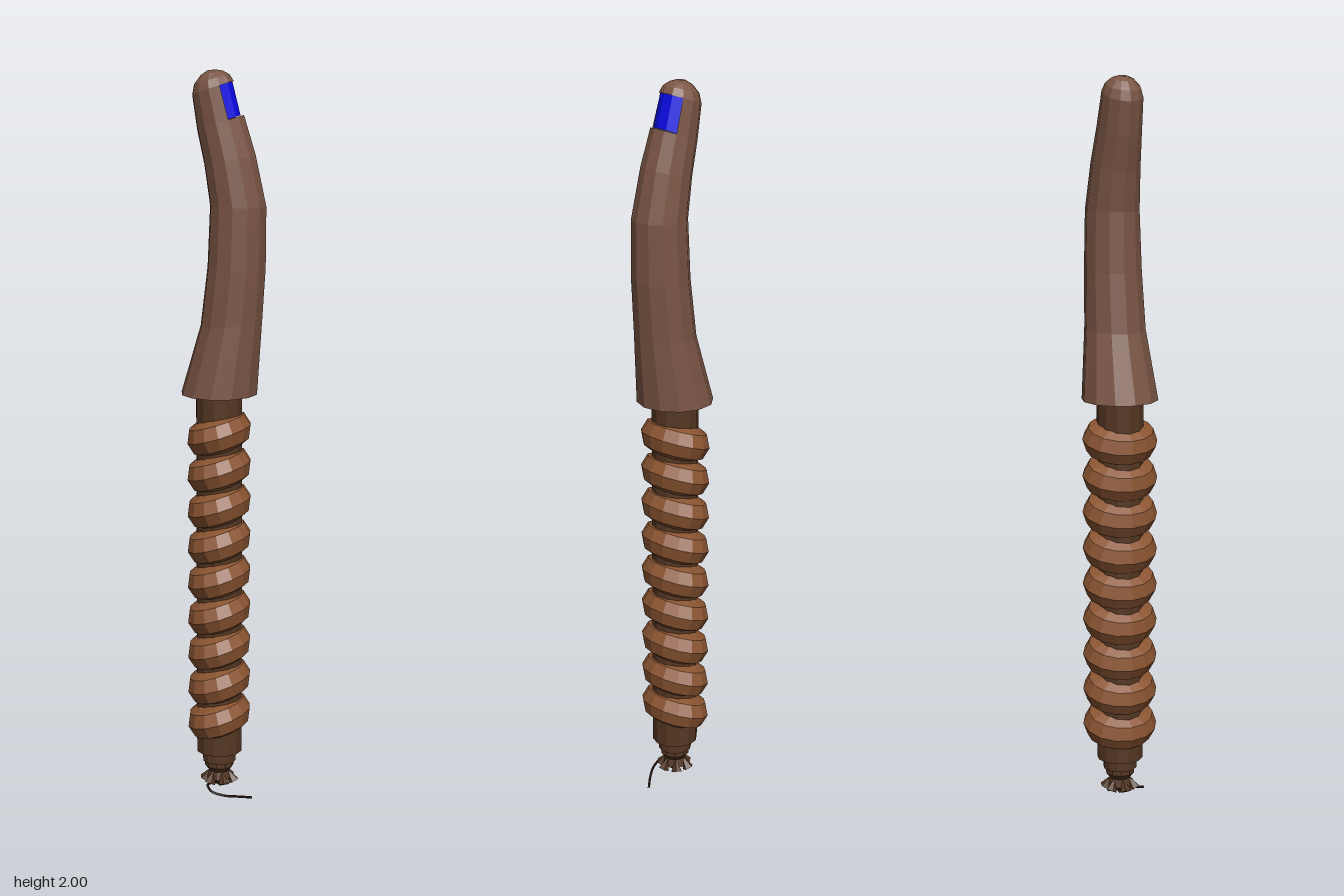
import * as THREE from 'three';

const SIDES = 12;
const AXIS_X = -0.012;

const makeMat = (name, color, side = THREE.FrontSide) => {
  const m = new THREE.MeshStandardMaterial({ color, side, flatShading: true });
  m.name = name;
  return m;
};

// Corner i of a horizontal section [y, centreX, radiusX, radiusZ, tilt]
function corner([y, cx, rx, rz, tilt = 0], i) {
  const a = (i % SIDES) * Math.PI * 2 / SIDES;
  return [cx + rx * Math.cos(a), y + tilt * Math.cos(a), -rz * Math.sin(a)];
}

// Skin between sections; skip(i) leaves out side faces, caps close the ends
function loft(sections, { skip = () => false, bottom = false, top = false } = {}) {
  const pos = [];
  const first = sections[0], last = sections[sections.length - 1];
  for (let i = 0; i < SIDES; i++) {
    for (let s = 0; s + 1 < sections.length; s++) {
      if (skip(i)) continue;
      const a = corner(sections[s], i), b = corner(sections[s], i + 1);
      const c = corner(sections[s + 1], i + 1), d = corner(sections[s + 1], i);
      pos.push(...a, ...b, ...c, ...a, ...c, ...d);
    }
    if (bottom) pos.push(first[1], first[0], 0, ...corner(first, i + 1), ...corner(first, i));
    if (top) pos.push(last[1], last[0], 0, ...corner(last, i), ...corner(last, i + 1));
  }
  const g = new THREE.BufferGeometry();
  g.setAttribute('position', new THREE.Float32BufferAttribute(pos, 3));
  g.computeVertexNormals();
  return g;
}

export function createModel() {
  const root = new THREE.Group();
  const gripMat = makeMat('grip brown', 0x7a5544, THREE.DoubleSide);
  const coilMat = makeMat('coil brown', 0x8b5532);
  const shaftMat = makeMat('shaft dark brown', 0x553723);
  const blueMat = makeMat('window blue', 0x0a0ae6);
  const wireMat = makeMat('thread dark', 0x2c1d14);

  const add = (name, geo, mat, parent = root) => {
    const mesh = new THREE.Mesh(geo, mat);
    mesh.name = name;
    parent.add(mesh);
    return mesh;
  };

  // Curved grip, flaring at its lower end
  const lip = [1.865, -0.008, 0.062, 0.058, 0.02];
  const rim = [1.953, -0.028, 0.055, 0.054, 0.018];
  add('grip', loft([
    [1.15, -0.012, 0.103, 0.103],
    [1.34, 0.021, 0.083, 0.082, 0.008],
    [1.49, 0.035, 0.078, 0.077],
    [1.65, 0.039, 0.075, 0.072],
    [1.77, 0.017, 0.068, 0.065, 0.014],
    lip,
  ], { bottom: true, top: true }), gripMat);

  // Neck wall, open on the +x side to show the recessed window
  add('neck', loft([lip, rim], { skip: i => i < 2 || i > 9 }), gripMat);
  add('window', loft([
    [1.864, -0.008, 0.053, 0.052, 0.02],
    [1.953, -0.028, 0.051, 0.051, 0.018],
  ]), blueMat);

  // Rounded tip
  add('tip', loft([
    rim,
    [1.975, -0.031, 0.047, 0.046, 0.013],
    [1.991, -0.031, 0.03, 0.03, 0.006],
    [1.999, -0.03, 0.012, 0.012, 0.001],
  ], { bottom: true, top: true }), gripMat);

  // Straight shaft
  const cyl = (name, rTop, rBottom, y0, y1, mat) => {
    const m = add(name, new THREE.CylinderGeometry(rTop, rBottom, y1 - y0, SIDES), mat);
    m.position.set(AXIS_X, (y0 + y1) / 2, 0);
    return m;
  };
  cyl('shaft', 0.063, 0.063, 0.14, 1.2, shaftMat);
  cyl('shaftCollar', 0.046, 0.046, 0.11, 0.15, shaftMat);

  // Stack of tilted rings
  const ringGeo = new THREE.TorusGeometry(0.056, 0.048, 8, 14);
  ringGeo.rotateX(Math.PI / 2).rotateZ(0.25).scale(0.85, 1, 1);
  const coil = new THREE.Group();
  coil.name = 'coil';
  root.add(coil);
  for (let i = 0; i < 9; i++) {
    add('coilRing', ringGeo, coilMat, coil).position.set(AXIS_X, 0.24 + i * 0.1, 0);
  }

  // Knotted end: waist, flared leaves and point
  add('endKnot', new THREE.LatheGeometry([
    [0, 0.03], [0.014, 0.045], [0.034, 0.058], [0.028, 0.08], [0.04, 0.095], [0.04, 0.112],
  ].map(([x, y]) => new THREE.Vector2(x, y)), 10), shaftMat).position.x = AXIS_X;
  const leaves = new THREE.Group();
  leaves.name = 'endLeaves';
  leaves.position.set(AXIS_X, 0.074, 0);
  root.add(leaves);
  for (let i = 0; i < 6; i++) {
    const pivot = new THREE.Group();
    pivot.rotation.y = i * Math.PI / 3;
    leaves.add(pivot);
    const leaf = add('leaf', new THREE.ConeGeometry(0.016, 0.04, 5), shaftMat, pivot);
    leaf.position.set(0.031, -0.007, 0);
    leaf.rotation.z = 0.5;
  }

  // Loose thread curling from the end
  const path = new THREE.CatmullRomCurve3([
    [-0.012, 0.045, 0.01], [-0.035, 0.05, 0.045], [-0.02, 0.04, 0.068],
    [0.015, 0.028, 0.062], [0.05, 0.017, 0.035], [0.08, 0.004, 0.003],
  ].map(p => new THREE.Vector3(...p)));
  add('thread', new THREE.TubeGeometry(path, 24, 0.0035, 5), wireMat);

  return root;
}
